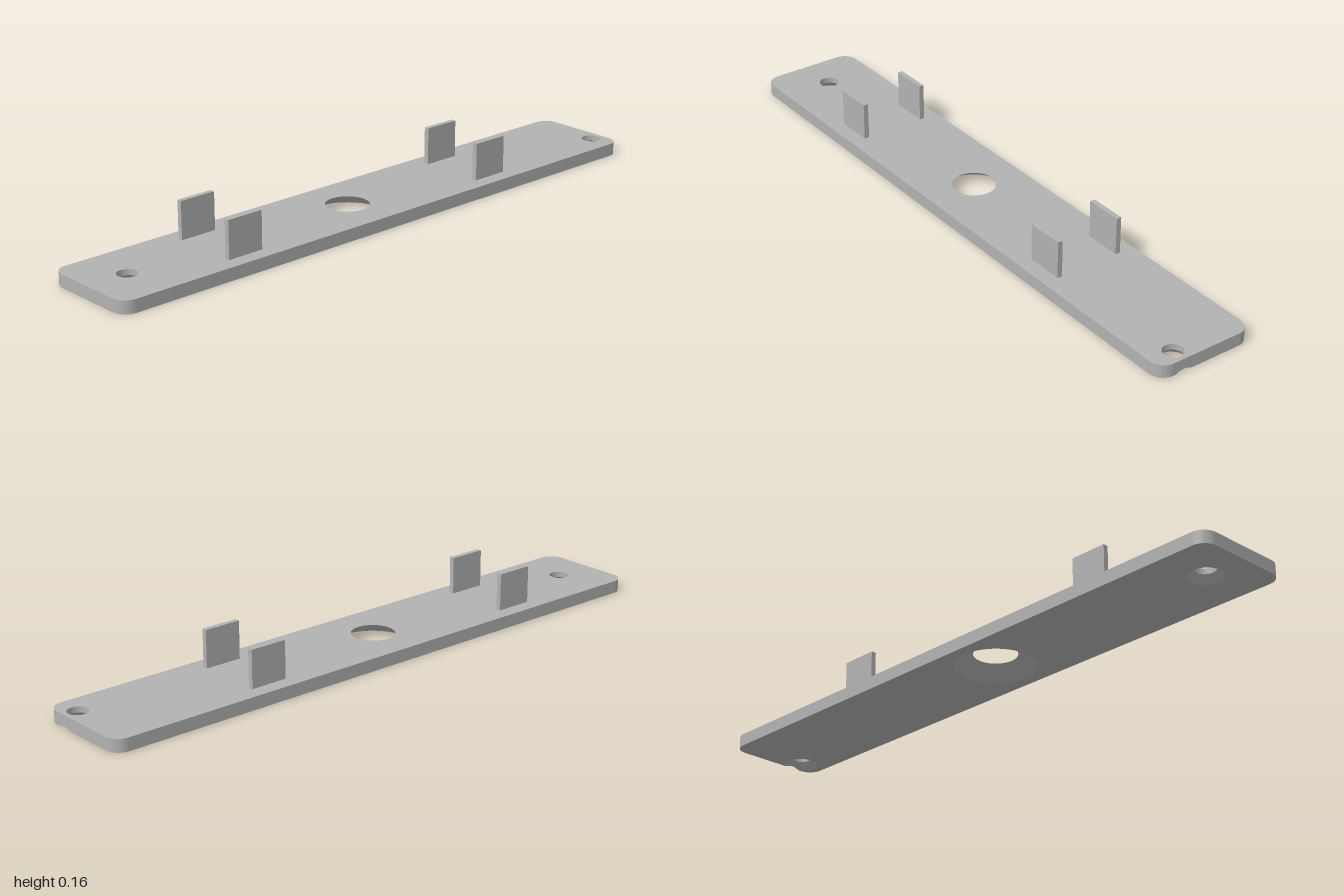
import * as THREE from 'three';

const H = 0.04, HX = 1, HZ = 0.161, CR = 0.045;   // plate thickness, half sizes, corner radius
// Countersunk holes: top radius r, bottom radius R, cone height c
const HOLES = [
  { name: 'centreHole', x: -0.053, z: 0, r: 0.067, R: 0.125, c: H },
  { name: 'rightScrewHole', x: -0.865, z: 0, r: 0.031, R: 0.052, c: 0.022 },
  { name: 'leftScrewHole', x: 0.955, z: 0.08, r: 0.031, R: 0.052, c: 0.022 },
];
const EDGE = HOLES[2];                            // its countersink breaks through the plate's end
const GAP = HX - EDGE.x;
const NOTCH = Math.acos(GAP / EDGE.R);
const coneY = (h, d) => Math.max(0, (h.R - d) * h.c / (h.R - h.r));

// Band of quads between two rows of points, with given normals
function band(low, high, normals, inward) {
  const g = new THREE.BufferGeometry(), index = [], n = low.length;
  for (let i = 0; i < n - 1; i++) {
    const a = i, b = i + 1, c = n + i, d = n + i + 1;
    if (inward) index.push(a, b, c, b, d, c);
    else index.push(a, c, b, b, c, d);
  }
  g.setAttribute('position', new THREE.Float32BufferAttribute([...low, ...high].flat(), 3));
  g.setAttribute('normal', new THREE.Float32BufferAttribute([...normals, ...normals].flat(), 3));
  g.setIndex(index);
  return g;
}

// Rounded rectangle; the underside is notched where the countersink meets the end
function plateShape(bottom) {
  const s = new THREE.Shape(), q = Math.PI / 2, x = HX - CR, z = HZ - CR;
  s.moveTo(-x, -HZ);
  s.absarc(x, -z, CR, -q, 0, false);
  if (bottom) s.absarc(EDGE.x, EDGE.z, EDGE.R, -NOTCH, NOTCH, true);
  s.absarc(x, z, CR, 0, q, false);
  s.absarc(-x, z, CR, q, 2 * q, false);
  s.absarc(-x, -z, CR, 2 * q, 3 * q, false);
  for (const h of HOLES) {
    if (bottom && h === EDGE) continue;
    const p = new THREE.Path();
    p.absarc(h.x, bottom ? h.z : -h.z, bottom ? h.R : h.r, 0, Math.PI * 2, true);
    s.holes.push(p);
  }
  return s;
}

// Outer wall, its lower edge raised over the notch
function wallGeometry() {
  const low = [], high = [], normals = [];
  const add = (x, z, nx, nz) => {
    const y = nx > 0.999 ? coneY(EDGE, Math.hypot(x - EDGE.x, z - EDGE.z)) : 0;
    low.push([x, y, z]);
    high.push([x, H, z]);
    normals.push([nx, 0, nz]);
  };
  const corners = [[1, -1], [1, 1], [-1, 1], [-1, -1]];
  corners.forEach(([sx, sz], k) => {
    for (let i = 0; i <= 12; i++) {
      const a = (k - 1 + i / 12) * Math.PI / 2, c = Math.cos(a), s = Math.sin(a);
      add(sx * (HX - CR) + CR * c, sz * (HZ - CR) + CR * s, c, s);
    }
    if (k === 0) {
      for (let i = 0; i <= 24; i++) add(HX, EDGE.z + GAP * Math.tan(NOTCH * (i / 12 - 1)), 1, 0);
    }
  });
  add(HX - CR, -HZ, 0, -1);
  return band(low, high, normals, false);
}

// Conical countersink and, where the cone stops short, the straight bore above it
function holeGeometries(h) {
  const low = [], mid = [], top = [], coneN = [], boreN = [];
  const k = (h.R - h.r) / h.c, len = Math.hypot(1, k);
  for (let i = 0; i <= 64; i++) {
    const a = i / 64 * Math.PI * 2, c = Math.cos(a), s = Math.sin(a);
    const d = c > 0 ? Math.min(h.R, (HX - h.x) / c) : h.R;
    low.push([h.x + d * c, coneY(h, d), h.z + d * s]);
    mid.push([h.x + h.r * c, h.c, h.z + h.r * s]);
    top.push([h.x + h.r * c, H, h.z + h.r * s]);
    coneN.push([-c / len, -k / len, -s / len]);
    boreN.push([-c, 0, -s]);
  }
  const parts = [band(low, mid, coneN, true)];
  if (h.c < H) parts.push(band(mid, top, boreN, true));
  return parts;
}

export function createModel() {
  const model = new THREE.Group();
  model.name = 'mountingPlate';
  const grey = new THREE.MeshStandardMaterial({ color: 0xb2b2b2 });
  grey.name = 'grey';
  const add = (geometry, name) => {
    const mesh = new THREE.Mesh(geometry, grey);
    mesh.name = name;
    model.add(mesh);
    return mesh;
  };

  // Plate
  add(new THREE.ShapeGeometry(plateShape(false), 32).rotateX(-Math.PI / 2).translate(0, H, 0), 'plateTop');
  add(new THREE.ShapeGeometry(plateShape(true), 32).rotateX(Math.PI / 2), 'plateUnderside');
  add(wallGeometry(), 'plateWall');
  for (const h of HOLES) {
    holeGeometries(h).forEach((g, i) => add(g, h.name + (i ? 'Bore' : 'Countersink')));
  }

  // Four upright tabs
  const tab = new THREE.BoxGeometry(0.12, 0.118, 0.016);
  for (const x of [-0.54, 0.44]) {
    for (const z of [-0.105, 0.105]) {
      add(tab, (x < 0 ? 'right' : 'left') + (z < 0 ? 'Back' : 'Front') + 'Tab').position.set(x, H + 0.059, z);
    }
  }
  return model;
}
